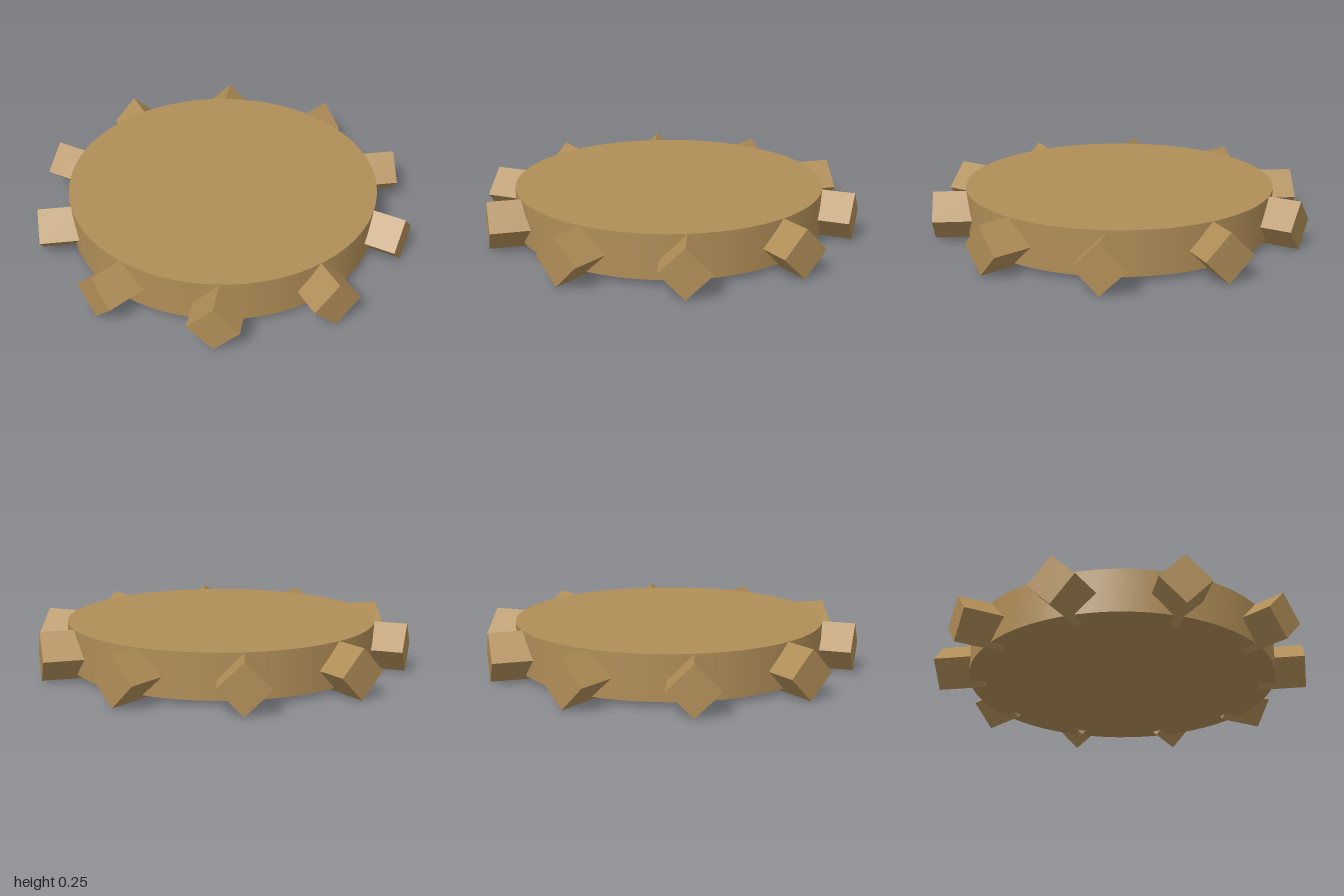
import * as THREE from 'three';

export function createModel() {
  const group = new THREE.Group();
  const bronze = new THREE.MeshStandardMaterial({ color: 0xb08d57 });
  bronze.name = 'bronze';

  // Main disc
  const disc = new THREE.Mesh(new THREE.CylinderGeometry(0.81, 0.81, 0.225, 64), bronze);
  disc.name = 'disc';
  disc.position.y = 0.1375;
  group.add(disc);

  // Ten square teeth standing on edge, each skewed slightly from the radius
  const length = 0.25;
  const toothGeometry = new THREE.BoxGeometry(length, 0.1768, 0.1768);
  toothGeometry.rotateX(Math.PI / 4);
  toothGeometry.translate(-length / 2, 0, 0); // origin at the outer face
  const teeth = new THREE.Group();
  teeth.name = 'teeth';
  for (let i = 0; i < 10; i++) {
    const place = THREE.MathUtils.degToRad(2.9 + i * 36);
    const heading = THREE.MathUtils.degToRad(10.5 + i * 36);
    const tooth = new THREE.Mesh(toothGeometry, bronze);
    tooth.name = 'tooth';
    tooth.position.set(0.977 * Math.cos(place), 0.125, 0.977 * Math.sin(place));
    tooth.rotation.y = -heading;
    teeth.add(tooth);
  }
  group.add(teeth);
  return group;
}
